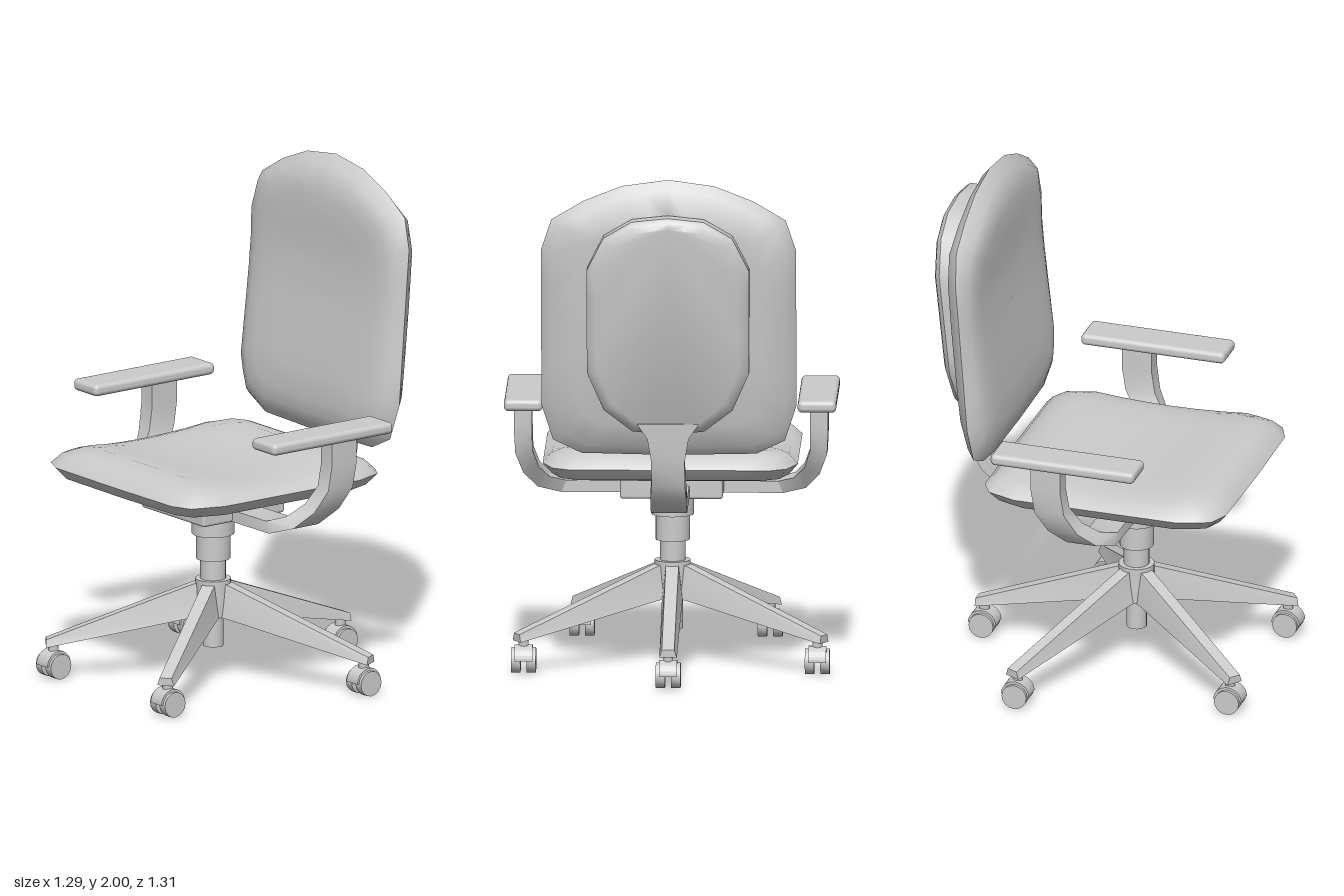
import * as THREE from 'three';
import { toCreasedNormals } from 'three/addons/utils/BufferGeometryUtils.js';
import { RoundedBoxGeometry } from 'three/addons/geometries/RoundedBoxGeometry.js';

const material = new THREE.MeshStandardMaterial({ color: 0xcccccc, roughness: 0.8 });

function part(parent, name, geometry, x = 0, y = 0, z = 0) {
  const mesh = new THREE.Mesh(geometry, material);
  mesh.name = name;
  mesh.position.set(x, y, z);
  parent.add(mesh);
  return mesh;
}

// Closed skin over equal-sized rings of [x, y, z], with both ends capped.
function loft(rings, crease) {
  const n = rings[0].length, pos = rings.flat(2), index = [];
  for (let r = 0; r < rings.length - 1; r++) {
    for (let i = 0; i < n; i++) {
      const a = r * n + i, b = r * n + (i + 1) % n;
      index.push(a, b, b + n, a, b + n, a + n);
    }
  }
  const last = (rings.length - 1) * n;
  for (let i = 1; i < n - 1; i++) {
    index.push(0, i + 1, i, last, last + i, last + i + 1);
  }
  // Turn the skin outward if its signed volume is negative.
  const v = i => new THREE.Vector3(...pos.slice(i * 3, i * 3 + 3));
  let volume = 0;
  for (let i = 0; i < index.length; i += 3) {
    volume += v(index[i]).dot(v(index[i + 1]).cross(v(index[i + 2])));
  }
  if (volume < 0) index.reverse();
  const g = new THREE.BufferGeometry();
  g.setAttribute('position', new THREE.Float32BufferAttribute(pos, 3));
  g.setIndex(index);
  return toCreasedNormals(g, crease);
}

// Mirrors a right-hand outline (top to bottom) and splits its long edges.
function outline(half) {
  const left = half.filter(p => p[0] > 0).reverse().map(([u, v]) => [-u, v]);
  const pts = [...half, ...left], out = [];
  pts.forEach((p, i) => {
    const q = pts[(i + 1) % pts.length];
    const steps = Math.ceil(Math.hypot(q[0] - p[0], q[1] - p[1]) / 0.13);
    for (let s = 0; s < steps; s++) {
      const t = s / steps;
      out.push([p[0] + (q[0] - p[0]) * t, p[1] + (q[1] - p[1]) * t]);
    }
  });
  return out;
}

// Rings of an outline drawn in by each layer's inset; place(u, v, level) gives the point.
function pad(half, layers, place, crease = 0.9) {
  const pts = outline(half);
  const hw = Math.max(...pts.map(p => p[0]));
  const vs = pts.map(p => p[1]), top = Math.max(...vs), bottom = Math.min(...vs);
  const mid = (top + bottom) / 2, hh = (top - bottom) / 2;
  return loft(layers.map(([inset, level]) => pts.map(([u, v]) =>
    place(u * (hw - inset) / hw, mid + (v - mid) * (hh - inset) / hh, level))), crease);
}

// Piecewise linear lookup.
function table(rows) {
  return x => {
    let i = 0;
    while (i < rows.length - 2 && x > rows[i + 1][0]) i++;
    const [a, b] = [rows[i], rows[i + 1]];
    const t = THREE.MathUtils.clamp((x - a[0]) / (b[0] - a[0]), 0, 1);
    return a[1] + (b[1] - a[1]) * t;
  };
}

function makeCaster() {
  const caster = new THREE.Group();
  caster.name = 'caster';
  for (const side of [-1, 1]) {
    const wheel = new THREE.CylinderGeometry(0.05, 0.05, 0.036, 16).rotateZ(Math.PI / 2);
    part(caster, 'wheel', toCreasedNormals(wheel, 0.6), side * 0.03, 0.05, 0);
  }
  const hood = new THREE.Shape();
  hood.absarc(0, 0, 0.057, 0, Math.PI);
  const hoodGeo = new THREE.ExtrudeGeometry(hood, { depth: 0.07, bevelEnabled: false, curveSegments: 8 });
  part(caster, 'hood', hoodGeo.translate(0, 0, -0.035).rotateY(Math.PI / 2), 0, 0.053, 0);
  part(caster, 'stem', new THREE.CylinderGeometry(0.02, 0.02, 0.05, 10), 0, 0.115, 0);
  return caster;
}

export function createModel() {
  const chair = new THREE.Group();
  chair.name = 'officeChair';
  const baseZ = 0.1;

  // Five-legged base on twin-wheel casters
  for (const [x, z] of [[0, -0.52], [0.57, -0.2], [-0.57, -0.2], [0.365, 0.6], [-0.365, 0.6]]) {
    const length = Math.hypot(x, z - baseZ);
    const section = (d, top, bottom, wt, wb) =>
      [[-wb, bottom, d], [wb, bottom, d], [wt, top, d], [-wt, top, d]];
    const leg = part(chair, 'leg', loft([
      section(0.0, 0.4, 0.25, 0.025, 0.04),
      section(0.08, 0.375, 0.245, 0.025, 0.04),
      section(length + 0.03, 0.155, 0.125, 0.024, 0.034),
    ], 0.3), 0, 0, baseZ);
    leg.rotation.y = Math.atan2(x, z - baseZ);
    const caster = makeCaster();
    caster.position.set(x, 0, z);
    chair.add(caster);
  }

  // Central column: [name, radius, bottom, top]
  for (const [name, r, y0, y1] of [
    ['columnFoot', 0.04, 0.125, 0.3], ['hub', 0.07, 0.25, 0.395], ['gasLift', 0.05, 0.39, 0.48],
    ['middleSleeve', 0.067, 0.475, 0.58], ['upperSleeve', 0.083, 0.575, 0.67],
  ]) {
    const g = new THREE.CylinderGeometry(r, r, y1 - y0, 20);
    part(chair, name, toCreasedNormals(g, 0.6), 0, (y0 + y1) / 2, baseZ);
  }
  part(chair, 'tiltMechanism', new RoundedBoxGeometry(0.4, 0.11, 0.4, 2, 0.012), 0, 0.722, 0.1);

  // Seat cushion, dished across the middle
  const seatOutline = [[0, 0.59], [0.37, 0.585], [0.45, 0.55], [0.495, 0.42],
    [0.495, -0.24], [0.455, -0.355], [0.39, -0.393], [0, -0.395]];
  part(chair, 'seat', pad(seatOutline,
    [[0.13, -0.065], [0.035, -0.045], [0, 0], [0.035, 0.04], [0.08, 0.058], [0.15, 0.07],
      [0.25, 0.07], [0.35, 0.07], [0.42, 0.07], [0.49, 0.07]],
    (x, z, h) => {
      const dish = h > 0.03 ? 0.032 * Math.max(0, 1 - ((z - 0.1) / 0.34) ** 2) * (h / 0.07) : 0;
      return [x, 0.835 + h - dish, z];
    }));

  // Backrest cushion, curved for the lower back
  const front = table([[0.95, -0.36], [1.07, -0.355], [1.25, -0.378], [1.45, -0.405],
    [1.6, -0.418], [1.88, -0.415], [1.96, -0.43]]);
  const rear = table([[0.92, -0.46], [1.2, -0.5], [1.5, -0.53], [1.8, -0.55], [1.96, -0.545]]);
  const rim = table([[0.9, -0.415], [2, -0.5]]);
  const backOutline = [[0, 2], [0.18, 1.975], [0.33, 1.915], [0.455, 1.84], [0.495, 1.72],
    [0.495, 1.1], [0.45, 0.96], [0.34, 0.907], [0, 0.9]];
  part(chair, 'backrest', pad(backOutline,
    [[0.13, -1], [0.035, -0.65], [0, 0], [0.035, 0.65], [0.08, 0.9], [0.14, 1],
      [0.25, 1], [0.35, 1], [0.42, 1], [0.49, 1]],
    (x, y, t) => [x, y, THREE.MathUtils.lerp(rim(y), t > 0 ? front(y) : rear(y), Math.abs(t))]));

  // Rear shell, leaning back with the cushion
  const shellOutline = [[0, 1.87], [0.14, 1.855], [0.25, 1.79], [0.315, 1.66],
    [0.315, 1.25], [0.25, 1.1], [0.14, 1.015], [0, 1]];
  part(chair, 'rearShell', pad(shellOutline,
    [[0.02, -0.45], [0, -0.47], [0, -0.535], [0.015, -0.555], [0.04, -0.567]],
    (x, y, z) => [x, y, z - 0.09 * (y - 1) / 0.87], 0.6));

  // Curved bar from the mechanism up to the shell: [lower/outer z, y, upper/inner z, y, half width]
  const bar = [[0, 0.668, 0, 0.72, 0.07], [-0.4, 0.668, -0.37, 0.72, 0.07],
    [-0.45, 0.685, -0.41, 0.735, 0.07], [-0.51, 0.735, -0.455, 0.775, 0.07],
    [-0.55, 0.8, -0.485, 0.84, 0.065], [-0.568, 0.9, -0.495, 0.92, 0.065],
    [-0.574, 0.99, -0.48, 0.99, 0.08], [-0.578, 1.05, -0.48, 1.05, 0.12]];
  part(chair, 'backSupport', loft(bar.map(([z0, y0, z1, y1, w]) =>
    [[-w, y0, z0], [w, y0, z0], [w, y1, z1], [-w, y1, z1]]), 0.5));

  // Armrests: [outer x, y, inner x, y, centre z]
  const arm = [[0.61, 1.06, 0.54, 1.06, -0.075], [0.61, 0.95, 0.54, 0.95, -0.075],
    [0.605, 0.85, 0.538, 0.86, -0.06], [0.575, 0.765, 0.515, 0.79, -0.015],
    [0.52, 0.7, 0.475, 0.74, 0.045], [0.43, 0.67, 0.41, 0.716, 0.095],
    [0.15, 0.67, 0.15, 0.716, 0.1]];
  for (const [side, name] of [[1, 'left'], [-1, 'right']]) {
    part(chair, name + 'ArmSupport', loft(arm.map(([x0, y0, x1, y1, z]) =>
      [[x0, y0, z - 0.06], [x0, y0, z + 0.06], [x1, y1, z + 0.06], [x1, y1, z - 0.06]]
        .map(([x, y, w]) => [x * side, y, w])), 0.5));
    part(chair, name + 'ArmPad', new RoundedBoxGeometry(0.15, 0.046, 0.585, 3, 0.018), side * 0.57, 1.067, 0.002);
  }
  return chair;
}
